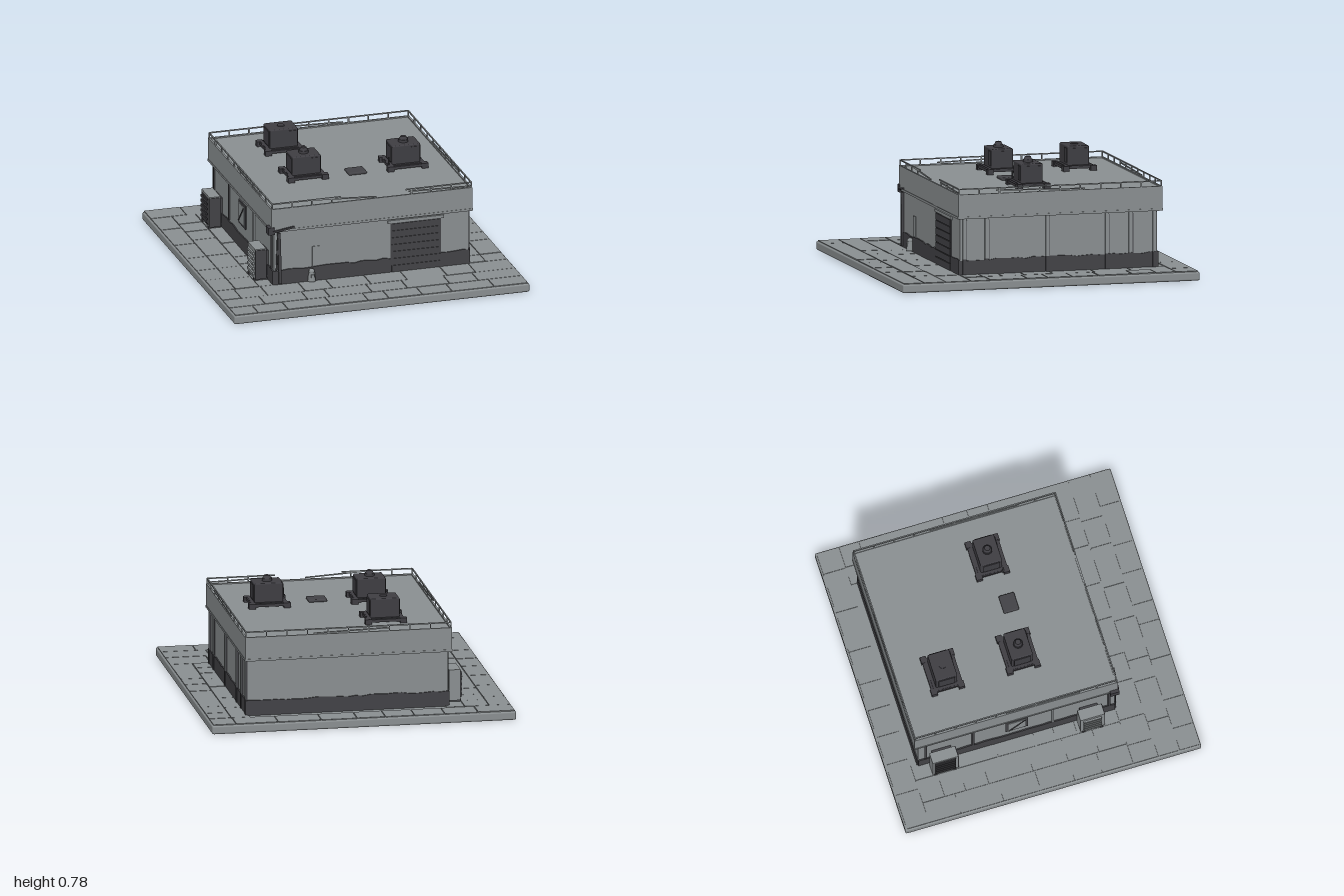
import * as THREE from 'three';
import { RoundedBoxGeometry } from 'three/addons/geometries/RoundedBoxGeometry.js';

const mat = (name, color) => {
  const m = new THREE.MeshStandardMaterial({ color });
  m.name = name;
  return m;
};

export function createModel() {
  const concrete = mat('concrete grey', 0x8b9092);
  const dark = mat('charcoal paint', 0x434347);
  const machine = mat('machine grey', 0x3f3e43);
  const model = new THREE.Group();
  model.name = 'utilityBuilding';

  let seed = 7;
  const rnd = () => (seed = (seed * 16807) % 2147483647) / 2147483647;

  function add(parent, name, geo, material, x = 0, y = 0, z = 0) {
    const m = new THREE.Mesh(geo, material);
    m.name = name;
    m.position.set(x, y, z);
    parent.add(m);
    return m;
  }
  // box given by its min and max corners
  function box(parent, name, material, x0, x1, y0, y1, z0, z1) {
    return add(parent, name, new THREE.BoxGeometry(x1 - x0, y1 - y0, z1 - z0), material,
      (x0 + x1) / 2, (y0 + y1) / 2, (z0 + z1) / 2);
  }
  // square bar between two points
  function bar(parent, name, material, a, b, t) {
    const p = new THREE.Vector3(...a), q = new THREE.Vector3(...b);
    const m = add(parent, name, new THREE.BoxGeometry(t, t, p.distanceTo(q)), material);
    m.position.copy(p).add(q).multiplyScalar(0.5);
    m.lookAt(q);
    return m;
  }

  // ground slab
  add(model, 'slab', new RoundedBoxGeometry(2, 0.058, 2, 2, 0.012), concrete, 0, 0.029, 0);

  // paving stones with open joints, laid in staggered courses on all four sides
  const paving = new THREE.Group();
  paving.name = 'paving';
  model.add(paving);
  function course(alongX, c0, c1, from, to) {
    let s = from;
    while (s < to - 0.01) {
      let e = s + 0.13 + rnd() * 0.17;
      if (to - e < 0.1) e = to;
      const g = 0.0025, top = 0.062 + rnd() * 0.003;
      if (alongX) box(paving, 'stone', concrete, s + g, e - g, 0.05, top, c0 + g, c1 - g);
      else box(paving, 'stone', concrete, c0 + g, c1 - g, 0.05, top, s + g, e - g);
      s = e;
    }
  }
  [[0.54, 0.71], [0.71, 0.855], [0.855, 0.992]].forEach(([a, b]) => course(true, a, b, -0.992, 0.992));
  course(true, -0.992, -0.84, -0.992, 0.992);
  [[-0.992, -0.85], [-0.85, -0.69], [-0.69, -0.57], [0.72, 0.845], [0.845, 0.992]]
    .forEach(([a, b]) => course(false, a, b, -0.84, 0.54));

  // walls, roof band and roof
  const X0 = -0.59, X1 = 0.73, Z0 = -0.79, Z1 = 0.54;
  box(model, 'walls', concrete, X0, X1, 0.05, 0.44, Z0, Z1);
  box(model, 'roofBand', concrete, -0.61, 0.75, 0.43, 0.582, -0.82, 0.555);
  box(model, 'bandLedgeFront', concrete, -0.613, 0.753, 0.43, 0.445, -0.823, 0.558);
  for (const [a, b, c, d] of [[-0.61, 0.75, 0.543, 0.555], [-0.61, 0.75, -0.82, -0.808],
    [-0.61, -0.598, -0.82, 0.555], [0.738, 0.75, -0.82, 0.555]])
    box(model, 'roofRim', concrete, a, b, 0.575, 0.59, c, d);

  // painted plinth with a ragged upper edge
  function plinth(len, x, z, ry) {
    const s = new THREE.Shape();
    s.moveTo(-len / 2, 0);
    s.lineTo(len / 2, 0);
    const n = Math.max(3, Math.round(len / 0.05));
    for (let i = n; i >= 0; i--) s.lineTo(-len / 2 + (len * i) / n, 0.094 + rnd() * 0.012);
    const geo = new THREE.ExtrudeGeometry(s, { depth: 0.008, bevelEnabled: false });
    add(model, 'plinth', geo, dark, x, 0.06, z).rotation.y = ry;
  }
  plinth(0.79, -0.195, Z1, 0);
  plinth(0.19, 0.635, Z1, 0);
  plinth(X1 - X0, (X0 + X1) / 2, Z0, Math.PI);
  plinth(Z1 - Z0, X1, (Z0 + Z1) / 2, Math.PI / 2);
  plinth(Z1 - Z0, X0, (Z0 + Z1) / 2, -Math.PI / 2);

  // plank door
  const door = new THREE.Group();
  door.name = 'door';
  model.add(door);
  box(door, 'doorPanel', dark, 0.2, 0.54, 0.06, 0.4, Z1, Z1 + 0.004);
  for (let i = 0; i < 7; i++) {
    const y = 0.064 + i * 0.048;
    box(door, 'plank', dark, 0.203 + rnd() * 0.006, 0.537 - rnd() * 0.006, y, y + 0.044, Z1, Z1 + 0.009)
      .rotation.z = (rnd() - 0.5) * 0.01;
  }
  bar(model, 'doorLintel', concrete, [0.18, 0.41, Z1], [0.56, 0.41, Z1], 0.02);

  // slim pilasters on the right wall, with dark seams beside them
  for (const z of [0.51, 0.36, -0.05, -0.45, -0.61, -0.77]) {
    box(model, 'pilaster', concrete, X1 - 0.005, X1 + 0.012, 0.165, 0.43, z - 0.012, z + 0.012);
    box(model, 'pilasterFoot', dark, X1 - 0.005, X1 + 0.013, 0.06, 0.165, z - 0.013, z + 0.013);
    box(model, 'seam', dark, X1, X1 + 0.009, 0.16, 0.42, z - 0.017, z - 0.012);
  }

  // downpipe and small awning at the front corner
  bar(model, 'downpipe', dark, [-0.55, 0.07, 0.548], [-0.56, 0.42, 0.548], 0.02);
  bar(model, 'downpipeThin', dark, [-0.575, 0.14, 0.546], [-0.565, 0.43, 0.546], 0.008);
  bar(model, 'awning', machine, [-0.6, 0.435, 0.56], [-0.46, 0.46, 0.57], 0.012);
  box(model, 'cornerLamp', machine, -0.632, -0.59, 0.415, 0.465, 0.5, 0.56);

  // wall tap and repair panel on the front
  box(model, 'repairPanel', concrete, -0.33, -0.27, 0.165, 0.3, Z1, Z1 + 0.004);
  const tap = add(model, 'tapBody', new THREE.CylinderGeometry(0.02, 0.026, 0.06, 10), concrete, -0.34, 0.1, 0.56);
  add(tap, 'tapCap', new THREE.SphereGeometry(0.02, 10, 6), concrete, 0, 0.035, 0);
  bar(model, 'tapPipe', concrete, [-0.34, 0.11, 0.53], [-0.34, 0.11, 0.585], 0.02);

  // left wall: window, seams and two cabinets
  box(model, 'windowFrame', dark, X0 - 0.009, X0, 0.23, 0.39, -0.2, -0.05);
  box(model, 'windowPane', concrete, X0 - 0.014, X0, 0.245, 0.375, -0.185, -0.065);
  bar(model, 'windowBrace', dark, [X0 - 0.015, 0.25, -0.18], [X0 - 0.015, 0.37, -0.07], 0.007);
  for (const z of [-0.74, -0.42, 0.12, 0.5])
    box(model, 'wallStrip', z === 0.12 ? concrete : dark, X0 - 0.009, X0, 0.165, 0.42, z - 0.008, z + 0.008);
  function cabinet(z0, z1, darkSide) {
    const c = new THREE.Group();
    c.name = 'cabinet';
    model.add(c);
    box(c, 'cabinetBody', concrete, -0.685, -0.61, 0.075, 0.28, z0, z1);
    box(c, 'cabinetMount', dark, -0.62, X0, 0.09, 0.26, z0 + 0.02, z1 - 0.02);
    box(c, 'cabinetEnd', dark, -0.685, -0.61, 0.075, 0.275, z1, z1 + 0.006);
    if (darkSide) box(c, 'cabinetGrille', dark, -0.692, -0.685, 0.09, 0.265, z0 + 0.015, z1 - 0.015);
    for (let i = 0; i < 5; i++)
      box(c, 'louvre', darkSide ? dark : concrete, -0.697, -0.685, 0.1 + i * 0.034, 0.118 + i * 0.034, z0 + 0.02, z1 - 0.02);
    for (const z of [z0 + 0.02, z1 - 0.02]) box(c, 'cabinetFoot', dark, -0.69, -0.6, 0.06, 0.078, z - 0.01, z + 0.01);
  }
  cabinet(-0.72, -0.55, true);
  cabinet(0.28, 0.44, false);

  // roof railing, sagging or broken in places
  const rail = new THREE.Group();
  rail.name = 'railing';
  model.add(rail);
  const L = -0.604, R = 0.744, F = 0.549, B = -0.814, H = 0.624;
  const runs = [
    [[L, H, F], [-0.14, H, F]], [[-0.3, 0.622, F], [0.1, 0.598, F]], [[0.3, H, F], [R, H, F]],
    [[0.32, 0.61, F], [0.74, 0.598, F]], [[L, H, B], [R, H, B]], [[-0.2, 0.61, B], [0.3, 0.596, B]],
    [[R, H, F], [R, H, B]], [[R, 0.61, 0.3], [R, 0.597, -0.3]],
    [[L, H, F], [L, H, B]], [[L, 0.61, -0.2], [L, 0.597, 0.3]],
  ];
  for (const [a, b] of runs) bar(rail, 'rail', concrete, a, b, 0.008);
  for (let i = 0; i <= 10; i++) {
    const x = L + ((R - L) * i) / 10, z = B + ((F - B) * i) / 10;
    const tops = [[x, B], [L, z], [R, z]];
    if (i < 4 || i > 6) tops.push([x, F]);
    for (const [px, pz] of tops) box(rail, 'railPost', concrete, px - 0.004, px + 0.004, 0.565, H, pz - 0.004, pz + 0.004);
  }

  // rooftop fan units
  function fanUnit(x, z, domed) {
    const u = new THREE.Group();
    u.name = 'fanUnit';
    u.position.set(x, 0.582, z);
    model.add(u);
    add(u, 'housing', new RoundedBoxGeometry(0.19, 0.13, 0.145, 2, 0.008), machine, 0, 0.095, 0);
    box(u, 'tray', machine, -0.115, 0.115, 0.02, 0.034, -0.09, 0.09);
    for (const s of [-1, 1]) {
      box(u, 'skid', machine, -0.13, 0.13, 0.012, 0.03, s * 0.092 - 0.014, s * 0.092 + 0.014);
      box(u, 'crossbar', machine, s * 0.112 - 0.01, s * 0.112 + 0.01, 0.014, 0.032, -0.1, 0.1);
      for (const t of [-1, 1])
        box(u, 'foot', machine, s * 0.115 - 0.022, s * 0.115 + 0.022, 0, 0.034, t * 0.092 - 0.02, t * 0.092 + 0.02);
      box(u, 'sidePanel', machine, s * 0.097 - 0.003, s * 0.097 + 0.003, 0.045, 0.145, -0.055, 0.055);
    }
    box(u, 'accessPanel', machine, 0.03, 0.08, 0.05, 0.145, 0.07, 0.077);
    if (domed) {
      add(u, 'ventCollar', new THREE.CylinderGeometry(0.032, 0.032, 0.018, 14), machine, 0, 0.168, 0);
      add(u, 'ventCap', new THREE.CylinderGeometry(0.018, 0.028, 0.02, 14), machine, 0, 0.187, 0);
    } else add(u, 'ventPlate', new THREE.CylinderGeometry(0.025, 0.025, 0.006, 14), machine, 0, 0.161, 0);
  }
  fanUnit(-0.215, -0.51, false);
  fanUnit(-0.22, 0, true);
  fanUnit(0.455, 0, true);

  // roof hatch and a short mast
  add(model, 'roofHatch', new RoundedBoxGeometry(0.125, 0.02, 0.105, 2, 0.009), dark, 0.12, 0.59, 0.043);
  bar(model, 'mast', dark, [0.335, 0.58, 0.07], [0.335, 0.67, 0.07], 0.008);

  return model;
}
